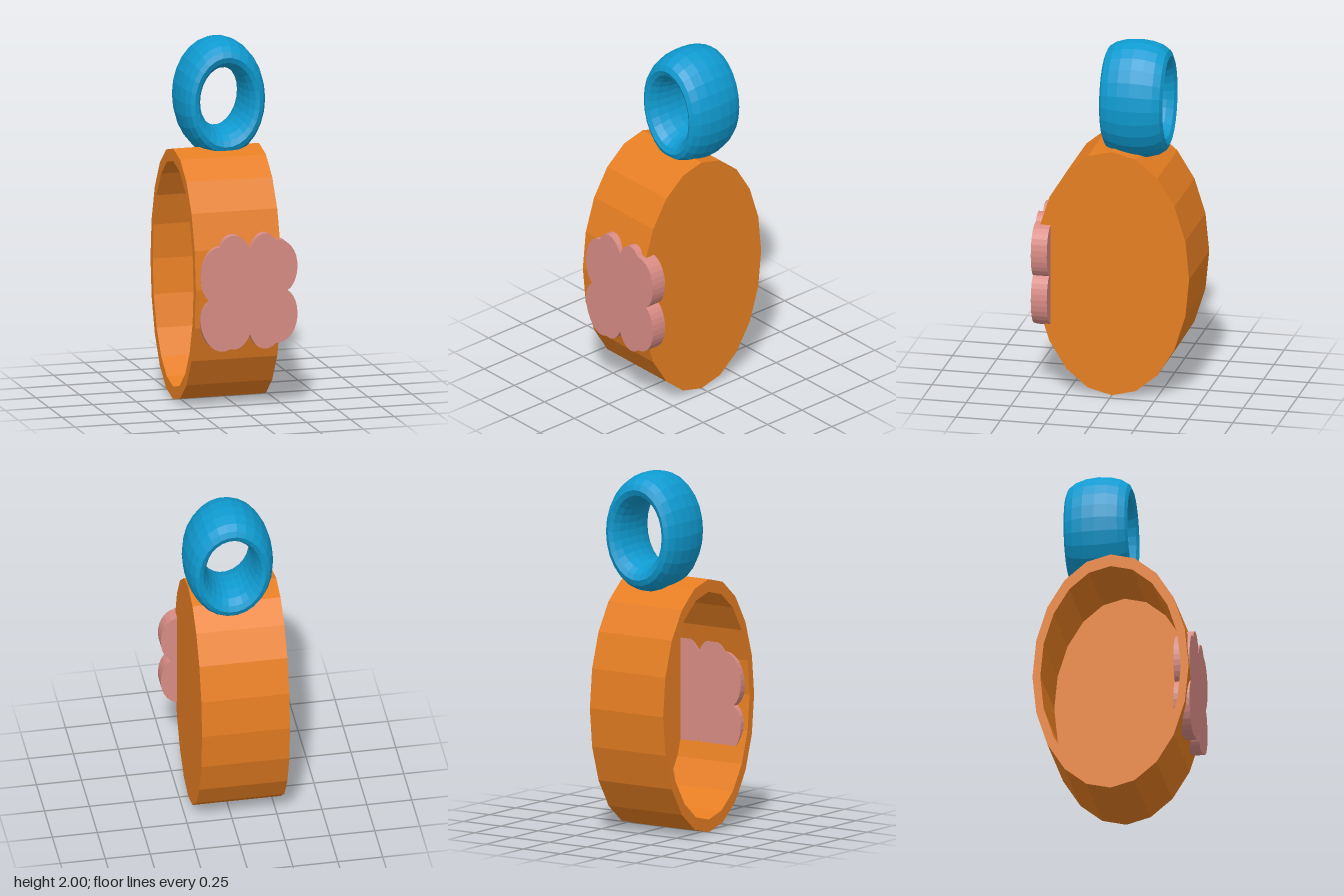
import * as THREE from 'three';

const paint = (color) => new THREE.MeshStandardMaterial({ color, flatShading: true });

function addPart(group, name, geometry, color) {
  const mesh = new THREE.Mesh(geometry, paint(color));
  mesh.name = name;
  group.add(mesh);
  return mesh;
}

export function createModel() {
  const group = new THREE.Group();
  group.name = 'pendant';

  // Oval cup lying on its side: closed at +x, open at -x
  const profile = [[0, 0.14], [0.9, 0.14], [0.9, -0.29], [1, -0.29], [1, 0.2], [0, 0.2]]
    .map(([r, h]) => new THREE.Vector2(r, h));
  const cup = new THREE.LatheGeometry(profile, 20);
  cup.rotateZ(-Math.PI / 2);
  cup.scale(1, 0.705, 0.435);
  addPart(group, 'ovalCup', cup, 0xe67e22).position.y = 0.705;

  // Hanging loop: a torus stretched into a tall, wide band
  const loop = new THREE.TorusGeometry(0.186, 0.061, 16, 26);
  loop.scale(1, 1.356, 2.92);
  addPart(group, 'hangingLoop', loop, 0x0f9bd1).position.set(0, 1.665, -0.103);

  // Flower plate: each row is one petal (two control points, then the next notch)
  const petals = [
    [0.06, 1.02, 0.13, 1.02, 0.165, 0.965],
    [0.325, 0.96, 0.315, 0.72, 0.235, 0.675],
    [0.315, 0.63, 0.325, 0.39, 0.165, 0.38],
    [0.13, 0.345, 0.06, 0.33, 0.02, 0.44],
    [-0.01, 0.37, -0.06, 0.35, -0.09, 0.365],
    [-0.22, 0.29, -0.33, 0.56, -0.215, 0.645],
    [-0.305, 0.72, -0.26, 0.95, -0.15, 0.94],
    [-0.12, 1.02, -0.03, 1.03, 0.02, 0.92],
  ];
  const outline = new THREE.Shape();
  outline.moveTo(0.02, 0.92);
  petals.forEach((p) => outline.bezierCurveTo(...p));
  const flower = new THREE.ExtrudeGeometry(outline, { depth: 0.09, bevelEnabled: false, curveSegments: 12 });
  addPart(group, 'flowerPlate', flower, 0xd98c85).position.z = 0.345;

  return group;
}
